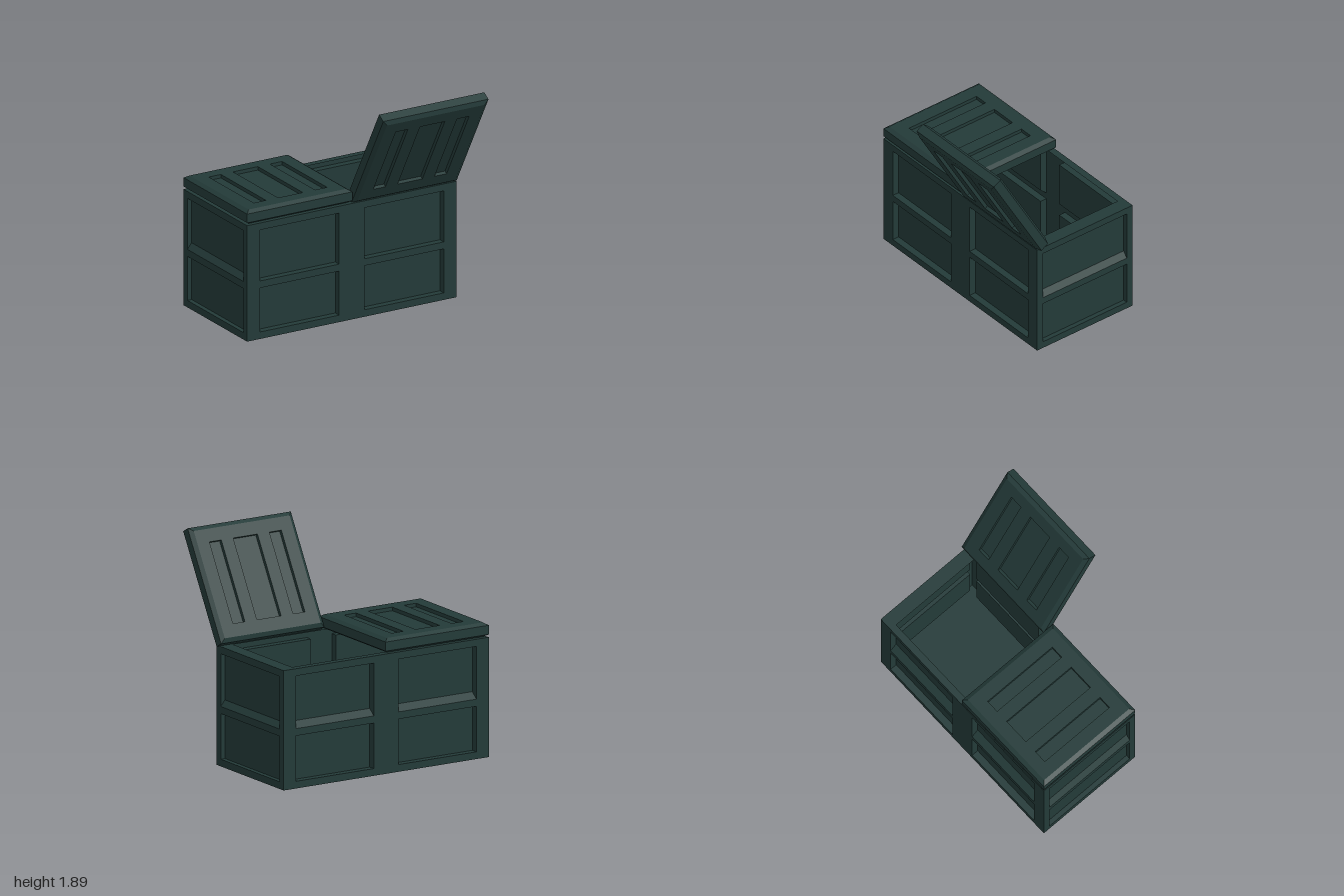
import * as THREE from 'three';
import { mergeGeometries } from 'three/addons/utils/BufferGeometryUtils.js';

const darkTeal = new THREE.MeshStandardMaterial({ color: 0x233a38, side: THREE.DoubleSide });
darkTeal.name = 'darkTeal';

// Flat-shaded strip joining two closed loops of points
function loft(a, b) {
  const pos = [];
  a.forEach((p, i) => {
    const j = (i + 1) % a.length;
    pos.push(...p, ...a[j], ...b[j], ...p, ...b[j], ...b[i]);
  });
  const g = new THREE.BufferGeometry();
  g.setAttribute('position', new THREE.Float32BufferAttribute(pos, 3));
  g.computeVertexNormals();
  return g;
}

// Counter-clockwise rectangle in the xy plane at depth z
const rect = (x0, x1, y0, y1, z = 0) => [[x0, y0, z], [x1, y0, z], [x1, y1, z], [x0, y1, z]];
const toPath = (r, C) => new C(r.map(([x, y]) => new THREE.Vector2(x, y)));

function flat(shape, z = 0) {
  const g = new THREE.ShapeGeometry(shape).toNonIndexed().translate(0, 0, z);
  g.deleteAttribute('uv');
  return g;
}

// Face in the xy plane (facing +z) with recessed rectangles [x0, x1, y0, y1, ledgeRise]
function recessedFace(outline, recesses, depth) {
  const shape = toPath(outline, THREE.Shape);
  const parts = [];
  for (const [x0, x1, y0, y1, rise = 0] of recesses) {
    const outer = rect(x0, x1, y0, y1);
    const inner = rect(x0, x1, y0 + rise, y1, -depth);
    shape.holes.push(toPath([...outer].reverse(), THREE.Path));
    parts.push(loft(inner.map((p) => p), outer).scale(1, 1, 1));
    parts.push(flat(toPath(inner, THREE.Shape), -depth));
  }
  return mergeGeometries([flat(shape), ...parts]);
}

function add(group, name, geometry) {
  const mesh = new THREE.Mesh(geometry, darkTeal);
  mesh.name = name;
  group.add(mesh);
  return mesh;
}

// Open box with recessed panels on each wall
function makeChest() {
  const chest = new THREE.Group();
  chest.name = 'chest';
  const W = 0.99, D = 0.495;
  const rows = (x0, x1, rise) => [[x0, x1, 0.06, 0.44], [x0, x1, 0.5, 0.94, rise]];
  const long = (rise) => [...rows(-0.87, -0.12, rise), ...rows(0.12, 0.87, rise)];
  const wall = (name, half, recesses, depth, turn, offset) => add(chest, name,
    recessedFace(rect(-half, half, 0, 1), recesses, depth).translate(0, 0, offset).rotateY(turn));
  wall('frontWall', W, long(0), 0.06, 0, D);
  wall('backWall', W, long(0.05), 0.06, Math.PI, D);
  wall('leftWall', D, rows(-0.435, 0.435, 0.05), 0.04, Math.PI / 2, W);
  wall('rightWall', D, rows(-0.435, 0.435, 0.05), 0.04, -Math.PI / 2, W);

  // Rim around the opening
  const rim = toPath(rect(-W, W, -D, D), THREE.Shape);
  rim.holes.push(toPath(rect(-0.87, 0.87, -0.435, 0.435).reverse(), THREE.Path));
  add(chest, 'rim', flat(rim).rotateX(-Math.PI / 2).translate(0, 1, 0));

  // Floor
  add(chest, 'floor', flat(toPath(rect(-W, W, -D, D), THREE.Shape)).rotateX(Math.PI / 2));
  chest.position.set(-0.01, 0, -0.235);
  return chest;
}

// Bevelled lid, centred on its own middle, with slots on both faces
function makeLid(name) {
  const lid = new THREE.Group();
  lid.name = name;
  const W = 0.4975, D = 0.495, T = 0.06, inset = 0.035, bevel = 0.022;
  const ring = (i, z) => rect(-W + i, W - i, -D + i, D - i, z);
  const slots = [[-0.347, -0.232], [-0.117, 0.117], [0.232, 0.347]]
    .map(([x0, x1]) => [x0, x1, -0.35, 0.35]);
  const face = () => recessedFace(ring(inset, 0), slots, 0.03).translate(0, 0, T);

  const rings = [ring(inset, -T), ring(0, -T + bevel), ring(0, T - bevel), ring(inset, T)];
  const edges = rings.slice(1).map((r, i) => loft(rings[i], r));
  add(lid, 'lidEdge', mergeGeometries(edges).rotateX(-Math.PI / 2));
  add(lid, 'lidTop', face().rotateX(-Math.PI / 2));
  add(lid, 'lidUnderside', face().rotateX(Math.PI / 2));
  return lid;
}

export function createModel() {
  const model = new THREE.Group();
  model.name = 'storageChest';

  const closedLid = makeLid('closedLid');
  closedLid.position.set(-0.5025, 1.062, -0.235);

  // Swung open about the front edge
  const openLid = makeLid('openLid');
  openLid.position.set(0.5025, 1.443, 0.445);
  openLid.rotation.x = THREE.MathUtils.degToRad(120);

  model.add(makeChest(), closedLid, openLid);
  return model;
}
